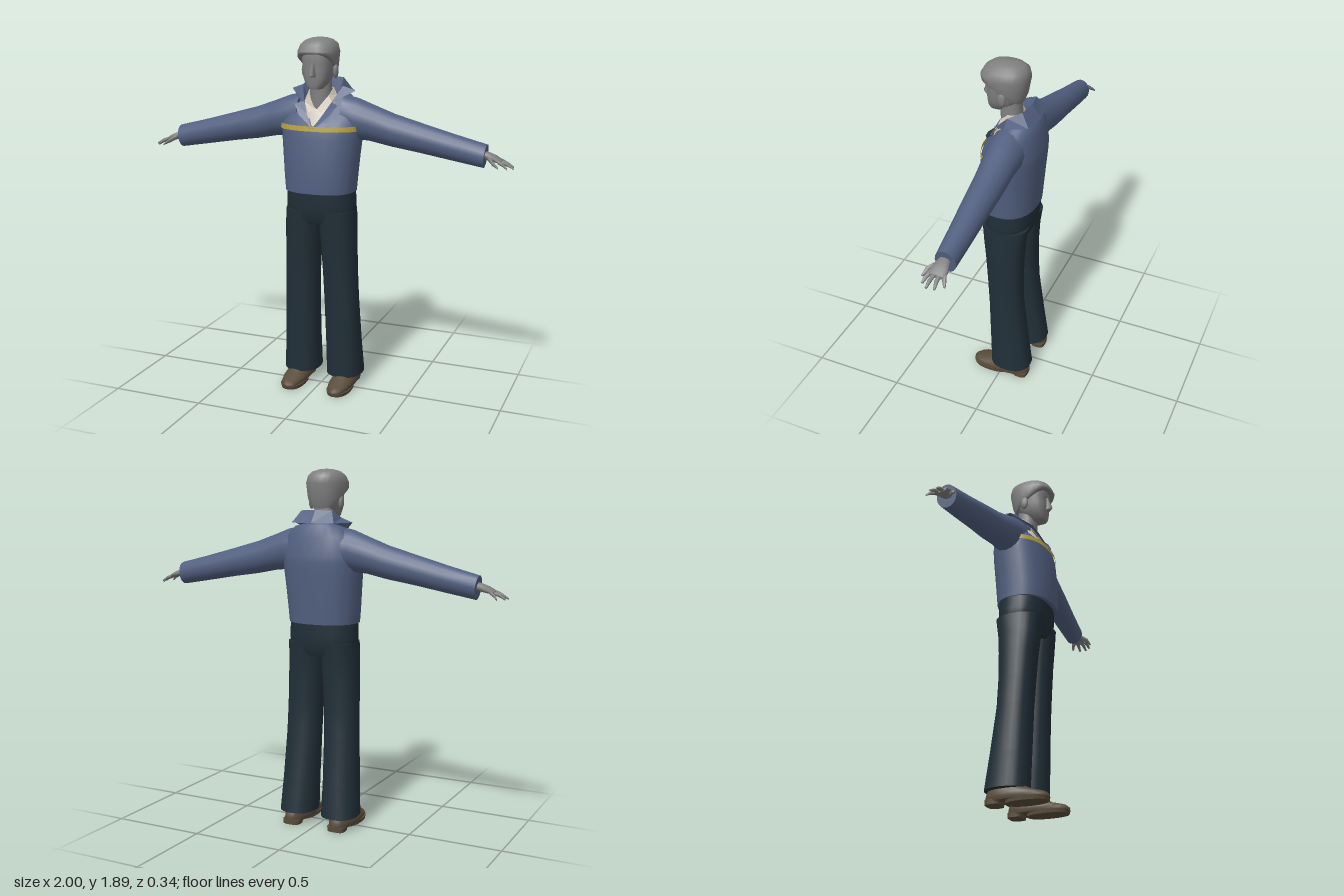
import * as THREE from 'three';

const material = (name, color, side = THREE.FrontSide) => {
  const m = new THREE.MeshStandardMaterial({ color, side });
  m.name = name;
  return m;
};

// Signed power, used for rounded-box and diamond cross-sections
const spow = (v, e) => Math.sign(v) * Math.abs(v) ** e;

// Horizontal section at height y, reaching from zb (back) to zf (front).
// fdy and bdy raise or lower the front and back of the section.
function ring(y, rx, zf, zb, o = {}) {
  const { cx = 0, zc = (zf + zb) / 2, e = 0.85, eb = e, fdy = 0, bdy = 0, n = 24, t0 = 0, t1 = Math.PI * 2 } = o;
  const pts = [];
  for (let i = 0; i <= n; i++) {
    const t = t0 + (t1 - t0) * i / n, s = Math.sin(t), k = s > 0 ? e : eb, w = Math.abs(s) ** k;
    pts.push([cx + rx * spow(Math.cos(t), k), y + w * (s > 0 ? fdy : bdy), s > 0 ? zc + w * (zf - zc) : zc - w * (zc - zb)]);
  }
  return pts;
}

// Vertical section across x, for arms, palms and fingers
function armRing(x, cy, cz, ry, rz, n = 16, lean = 0) {
  const pts = [];
  for (let i = 0; i <= n; i++) {
    const t = Math.PI * 2 * i / n;
    pts.push([x + lean * Math.cos(t), cy + ry * Math.cos(t), cz - rz * Math.sin(t)]);
  }
  return pts;
}

// Skin a list of sections; closed ones share their seam and get end caps
function loft(rings, { closed = true, capStart = closed, capEnd = closed } = {}) {
  const n = rings[0].length - 1, w = closed ? n : n + 1, pos = [], idx = [];
  rings.forEach(r => r.slice(0, w).forEach(p => pos.push(...p)));
  for (let i = 0; i < rings.length - 1; i++) {
    for (let j = 0; j < n; j++) {
      const a = i * w + j, b = i * w + (j + 1) % w, c = a + w, d = b + w;
      idx.push(a, c, b, b, c, d);
    }
  }
  const cap = (r, end) => {
    const base = pos.length / 3, m = r.slice(0, n);
    m.forEach(p => pos.push(...p));
    pos.push(...[0, 1, 2].map(k => m.reduce((s, p) => s + p[k], 0) / n));
    for (let j = 0; j < n; j++) {
      const a = base + j, b = base + (j + 1) % n;
      idx.push(base + n, end ? b : a, end ? a : b);
    }
  };
  if (capStart) cap(rings[0], false);
  if (capEnd) cap(rings[rings.length - 1], true);
  const g = new THREE.BufferGeometry();
  g.setAttribute('position', new THREE.Float32BufferAttribute(pos, 3));
  g.setIndex(idx);
  g.computeVertexNormals();
  return g;
}

// Folded cloth panel with sharp facets
function panel(rows) {
  const g = loft(rows, { closed: false }).toNonIndexed();
  g.computeVertexNormals();
  return g;
}

function mirrored(geo) {
  const g = geo.index ? geo.toNonIndexed() : geo.clone();
  for (const key of ['position', 'normal']) {
    const a = g.attributes[key];
    for (let i = 0; i < a.count; i += 3) {
      const v = [0, 2, 1].map(k => [-a.getX(i + k), a.getY(i + k), a.getZ(i + k)]);
      v.forEach((p, k) => a.setXYZ(i + k, ...p));
    }
  }
  return g;
}

export function createModel() {
  const model = new THREE.Group();
  model.name = 'man';
  const grey = material('grey skin and hair', 0x808080);
  const blue = material('jacket blue', 0x526080, THREE.DoubleSide);
  const yellow = material('stripe yellow', 0xb5a040, THREE.DoubleSide);
  const cream = material('shirt cream', 0xcdc5b6, THREE.DoubleSide);
  const navy = material('trouser navy', 0x212f38);
  const brown = material('shoe brown', 0x5a4d3c);

  const add = (name, geo, mat) => {
    const m = new THREE.Mesh(geo, mat);
    m.name = name;
    model.add(m);
  };
  const pair = (name, geo, mat) => {
    add(name + 'Left', geo, mat);
    add(name + 'Right', mirrored(geo), mat);
  };

  // Jacket body, open in a V at the neck
  add('jacketBody', loft([
    ring(1.10, 0.188, 0.152, -0.145),
    ring(1.17, 0.194, 0.155, -0.15),
    ring(1.28, 0.203, 0.15, -0.158),
    ring(1.38, 0.213, 0.14, -0.165),
    ring(1.42, 0.216, 0.133, -0.166),
    ring(1.45, 0.215, 0.128, -0.166, { fdy: -0.006 }),
    ring(1.55, 0.195, 0.128, -0.152, { zc: -0.03, e: 1.1, eb: 0.85, fdy: -0.1 }),
    ring(1.595, 0.14, 0.128, -0.132, { zc: -0.035, e: 1.4, eb: 0.9, fdy: -0.145, bdy: 0.015 }),
    ring(1.61, 0.088, 0.127, -0.09, { zc: -0.03, e: 1.7, eb: 0.9, fdy: -0.165, bdy: 0.01 }),
  ], { capEnd: false }), blue);

  // Chest stripe
  const arc = { t0: 0.22, t1: Math.PI - 0.22 };
  add('chestStripe', loft([
    ring(1.424, 0.221, 0.138, -0.166, arc),
    ring(1.45, 0.22, 0.134, -0.166, arc),
  ], { closed: false }), yellow);

  // Turned-down collar and lapels
  pair('jacketCollar', panel([
    [[0, 1.60, -0.085], [0.065, 1.59, -0.07], [0.08, 1.575, -0.01], [0.065, 1.545, 0.045]],
    [[0, 1.685, -0.105], [0.088, 1.682, -0.09], [0.11, 1.645, -0.02], [0.075, 1.565, 0.055]],
    [[0, 1.62, -0.152], [0.12, 1.62, -0.135], [0.175, 1.622, -0.03], [0.092, 1.572, 0.062]],
  ]), blue);
  pair('lapel', panel([
    [[0.075, 1.568, 0.05], [0.045, 1.51, 0.092], [0, 1.437, 0.134]],
    [[0.118, 1.555, 0.078], [0.085, 1.505, 0.108], [0.006, 1.437, 0.139]],
  ]), blue);

  // Sleeves
  pair('sleeve', loft([
    armRing(0.12, 1.485, -0.035, 0.115, 0.095),
    armRing(0.19, 1.478, -0.035, 0.107, 0.092),
    armRing(0.26, 1.462, -0.036, 0.096, 0.085),
    armRing(0.38, 1.428, -0.04, 0.086, 0.078),
    armRing(0.52, 1.398, -0.042, 0.077, 0.071),
    armRing(0.70, 1.358, -0.047, 0.068, 0.061),
    armRing(0.856, 1.325, -0.05, 0.06, 0.053, 16, 0.007),
  ]), blue);

  // Hands: palm, four fingers and a thumb
  pair('palm', loft([
    armRing(0.84, 1.334, -0.047, 0.022, 0.026, 12),
    armRing(0.875, 1.326, -0.046, 0.021, 0.034, 12),
    armRing(0.91, 1.316, -0.045, 0.016, 0.046, 12),
    armRing(0.94, 1.303, -0.044, 0.01, 0.045, 12),
  ]), grey);
  [[-0.078, -0.098, 0.965], [-0.055, -0.063, 0.995], [-0.032, -0.025, 1.0], [-0.01, 0.006, 0.975]].forEach(([z0, z1, tip], i) => {
    pair('finger' + (i + 1), loft([
      armRing(0.925, 1.307, z0, 0.01, 0.012, 8),
      armRing(0.925 + (tip - 0.925) * 0.6, 1.294, z0 + (z1 - z0) * 0.6, 0.009, 0.01, 8),
      armRing(tip, 1.277, z1, 0.005, 0.006, 8),
    ]), grey);
  });
  pair('thumb', loft([
    armRing(0.872, 1.322, -0.026, 0.013, 0.014, 8),
    armRing(0.905, 1.302, 0.012, 0.012, 0.013, 8),
    armRing(0.935, 1.282, 0.026, 0.005, 0.006, 8),
  ]), grey);

  // Shirt and its collar points
  add('shirt', loft([
    ring(1.42, 0.10, 0.114, -0.08),
    ring(1.55, 0.088, 0.088, -0.075, { fdy: -0.05 }),
    ring(1.635, 0.062, 0.066, -0.062, { e: 1.3, eb: 0.9, fdy: -0.105 }),
  ], { capEnd: false }), cream);
  pair('shirtCollar', panel([
    [[0.064, 1.64, -0.01], [0.054, 1.6, 0.04], [0.004, 1.53, 0.078]],
    [[0.082, 1.6, -0.01], [0.078, 1.565, 0.045], [0.035, 1.515, 0.094]],
  ]), cream);

  // Neck and head
  add('neck', loft([
    ring(1.47, 0.06, 0.055, -0.06),
    ring(1.58, 0.055, 0.055, -0.055),
    ring(1.70, 0.055, 0.06, -0.045),
  ]), grey);
  add('head', loft([
    ring(1.636, 0.032, 0.113, 0.035, { e: 0.7 }),
    ring(1.655, 0.05, 0.12, 0.005, { e: 0.7 }),
    ring(1.69, 0.068, 0.122, -0.035, { e: 0.7 }),
    ring(1.73, 0.074, 0.125, -0.055, { e: 0.7 }),
    ring(1.77, 0.079, 0.122, -0.07, { e: 0.7 }),
    ring(1.83, 0.083, 0.128, -0.075, { e: 0.7 }),
    ring(1.86, 0.07, 0.11, -0.06, { e: 0.7 }),
  ]), grey);
  add('nose', loft([
    ring(1.698, 0.016, 0.143, 0.1, { e: 1.2, n: 8 }),
    ring(1.71, 0.017, 0.154, 0.1, { e: 1.2, n: 8 }),
    ring(1.78, 0.009, 0.128, 0.1, { e: 1.2, n: 8 }),
  ]), grey);
  const ear = new THREE.SphereGeometry(1, 10, 8).scale(0.013, 0.038, 0.022).translate(0.086, 1.725, 0.02);
  pair('ear', ear, grey);

  // Hair, with a fringe that overhangs the forehead
  add('hair', loft([
    ring(1.75, 0.084, 0.13, -0.06, { e: 0.65, eb: 0.85, fdy: 0.065, bdy: -0.06 }),
    ring(1.765, 0.096, 0.148, -0.075, { e: 0.65, eb: 0.85, fdy: 0.05, bdy: -0.035 }),
    ring(1.82, 0.1, 0.155, -0.092, { e: 0.75, eb: 0.85, fdy: 0.006 }),
    ring(1.858, 0.09, 0.138, -0.083),
    ring(1.879, 0.067, 0.11, -0.06),
    ring(1.89, 0.036, 0.07, -0.02),
    ring(1.893, 0.008, 0.035, 0.015),
  ]), grey);

  // Trousers: seat and two flared legs
  add('trouserSeat', loft([
    ring(0.925, 0.15, 0.095, -0.105),
    ring(0.965, 0.184, 0.118, -0.125),
    ring(1.03, 0.187, 0.128, -0.134),
    ring(1.13, 0.182, 0.132, -0.134),
  ]), navy);
  const leg = (y, inner, outer, zf, zb) => ring(y, (outer - inner) / 2, zf, zb, { cx: (inner + outer) / 2 });
  pair('trouserLeg', loft([
    leg(0.07, 0.026, 0.222, 0.062, -0.165),
    leg(0.25, 0.026, 0.212, 0.068, -0.14),
    leg(0.5, 0.021, 0.203, 0.076, -0.108),
    leg(0.65, 0.016, 0.198, 0.086, -0.103),
    leg(0.8, 0.008, 0.194, 0.098, -0.106),
    leg(0.9, 0.001, 0.191, 0.11, -0.113),
    leg(1.0, -0.002, 0.186, 0.12, -0.128),
  ]), navy);

  // Shoes: upper, front sole and heel
  const cx = 0.134;
  pair('shoeUpper', loft([
    ring(0.016, 0.06, 0.17, -0.156, { cx }),
    ring(0.03, 0.065, 0.173, -0.158, { cx }),
    ring(0.045, 0.063, 0.155, -0.157, { cx }),
    ring(0.062, 0.056, 0.09, -0.152, { cx }),
    ring(0.095, 0.045, 0.03, -0.135, { cx }),
  ]), brown);
  pair('shoeSole', loft([
    ring(0, 0.06, 0.167, -0.055, { cx }),
    ring(0.02, 0.064, 0.173, -0.05, { cx }),
  ]), brown);
  pair('shoeHeel', loft([
    ring(0, 0.048, -0.075, -0.155, { cx, e: 0.6 }),
    ring(0.025, 0.05, -0.07, -0.157, { cx, e: 0.6 }),
  ]), brown);

  return model;
}
